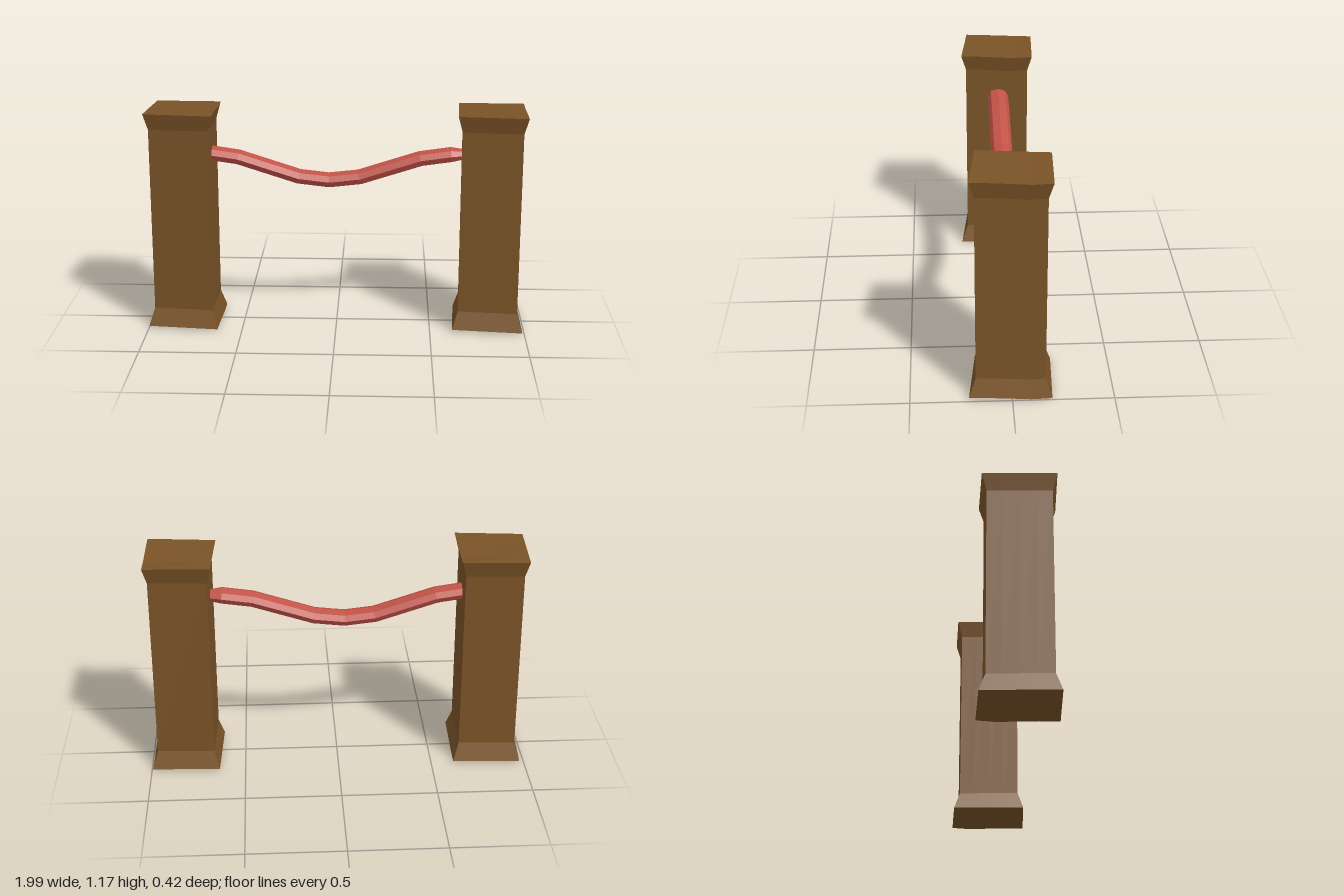
import * as THREE from 'three';

const wood = new THREE.MeshStandardMaterial({ color: 0x7a5327, flatShading: true });
const ropeRed = new THREE.MeshStandardMaterial({ color: 0xc15246, flatShading: true });

// Moves every vertex of a geometry by a rule and refreshes the normals.
function reshape(geometry, rule) {
  const pos = geometry.attributes.position;
  const v = new THREE.Vector3();
  for (let i = 0; i < pos.count; i++) {
    rule(v.fromBufferAttribute(pos, i));
    pos.setXYZ(i, v.x, v.y, v.z);
  }
  geometry.computeVertexNormals();
  return geometry;
}

// Hand-hewn square post: skewed plan, flared foot and head, uneven ends.
function postGeometry() {
  const back = [new THREE.Vector2(-0.17, -0.21), new THREE.Vector2(0.187, -0.195)];
  const front = [new THREE.Vector2(-0.19, 0.174), new THREE.Vector2(0.18, 0.212)];
  const levels = [[0.013, 1], [0.108, 0.84], [1.085, 0.84], [1.171, 0.96]]; // height, scale
  const dipLeft = [-0.009, -0.007, -0.004, -0.002, 0]; // back to front
  const dipRight = [-0.008, -0.013, -0.007, -0.002, 0];
  return reshape(new THREE.BoxGeometry(1, 1, 1, 1, 3, 4), (v) => {
    const [height, scale] = levels[Math.round((v.y + 0.5) * 3)];
    const row = Math.round((v.z + 0.5) * 4);
    const u = v.x + 0.5;
    const b = back[0].clone().lerp(back[1], u);
    const f = front[0].clone().lerp(front[1], u);
    const p = b.lerp(f, row / 4).multiplyScalar(scale);
    v.set(p.x, height + (u > 0.5 ? dipRight : dipLeft)[row], p.y);
  });
}

// Sagging eight-sided rope, swept along a path with slightly narrowed ends.
function ropeGeometry() {
  // x, y, section scale
  const path = [
    [-0.74, 0.932, 0.72], [-0.68, 0.93, 1], [-0.52, 0.907, 1], [-0.2, 0.804, 1], [-0.04, 0.786, 1],
    [0.12, 0.804, 1], [0.44, 0.907, 1], [0.6, 0.93, 1], [0.66, 0.932, 0.72],
  ];
  const n = path.length - 1;
  return reshape(new THREE.CylinderGeometry(1, 1, 1, 8, n), (v) => {
    const j = Math.round((0.5 - v.y) * n);
    const [x, y, s] = path[j];
    const a = path[Math.max(j - 1, 0)];
    const b = path[Math.min(j + 1, n)];
    const t = new THREE.Vector2(b[0] - a[0], b[1] - a[1]).normalize();
    const up = v.x * 0.041 * s;
    v.set(x - t.y * up, y + t.x * up, v.z * 0.057 * s);
  });
}

export function createModel() {
  const model = new THREE.Group();
  model.name = 'ropeBarrier';

  // Two matching posts
  const post = postGeometry();
  for (const [name, x] of [['rightPost', -0.808], ['leftPost', 0.808]]) {
    const mesh = new THREE.Mesh(post, wood);
    mesh.name = name;
    mesh.position.x = x;
    model.add(mesh);
  }

  // Rope hung between them
  const rope = new THREE.Mesh(ropeGeometry(), ropeRed);
  rope.name = 'rope';
  model.add(rope);

  return model;
}
